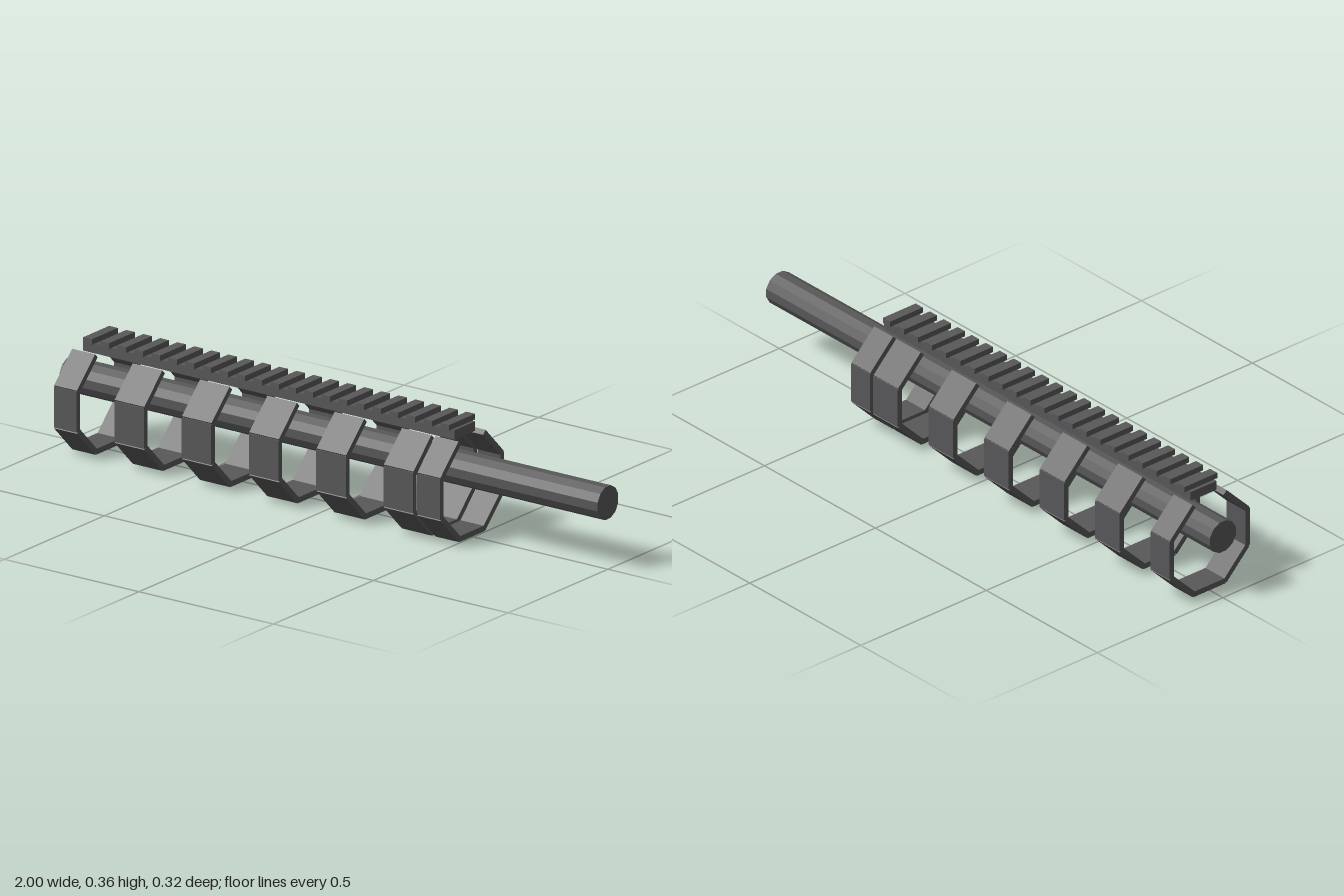
import * as THREE from 'three';

export function createModel() {
  const model = new THREE.Group();
  const metal = new THREE.MeshStandardMaterial({ color: 0x58585a, flatShading: true });
  metal.name = 'dark grey metal';

  const addBox = (parent, name, size, pos) => {
    const mesh = new THREE.Mesh(new THREE.BoxGeometry(...size), metal);
    mesh.name = name;
    mesh.position.set(...pos);
    parent.add(mesh);
    return mesh;
  };

  // Twelve-sided tube lying along x, flats facing up and sideways
  const barrel = new THREE.Mesh(
    new THREE.CylinderGeometry(0.0535, 0.0535, 2, 12, 1, false, Math.PI / 12), metal);
  barrel.name = 'barrel';
  barrel.rotation.z = Math.PI / 2;
  barrel.position.y = 0.211;
  model.add(barrel);

  // Octagonal bands, each of seven slabs and open at the top: [start x, end x]
  const bands = [[-0.94, -0.855], [-0.715, -0.605], [-0.465, -0.355], [-0.215, -0.105],
    [0.035, 0.145], [0.285, 0.395], [0.41, 0.495]];
  bands.forEach(([x0, x1]) => {
    const band = new THREE.Group();
    band.name = 'guardBand';
    band.position.set((x0 + x1) / 2, 0.161, 0);
    for (let k = 1; k < 8; k++) {
      const a = k * Math.PI / 4;
      const slab = addBox(band, 'bandSlab', [x1 - x0, 0.018, 0.128],
        [0, 0.151 * Math.cos(a), 0.151 * Math.sin(a)]);
      slab.rotation.x = a;
    }
    model.add(band);
  });

  // Top rail with evenly spaced cross teeth
  const rail = new THREE.Group();
  rail.name = 'topRail';
  addBox(rail, 'railBase', [1.38, 0.03, 0.104], [-0.222, 0.33, 0]);
  const teeth = 22;
  for (let i = 0; i < teeth; i++) {
    addBox(rail, 'railTooth', [0.032, 0.018, 0.13], [-0.885 + i * 0.0632, 0.354, 0]);
  }
  model.add(rail);

  return model;
}
